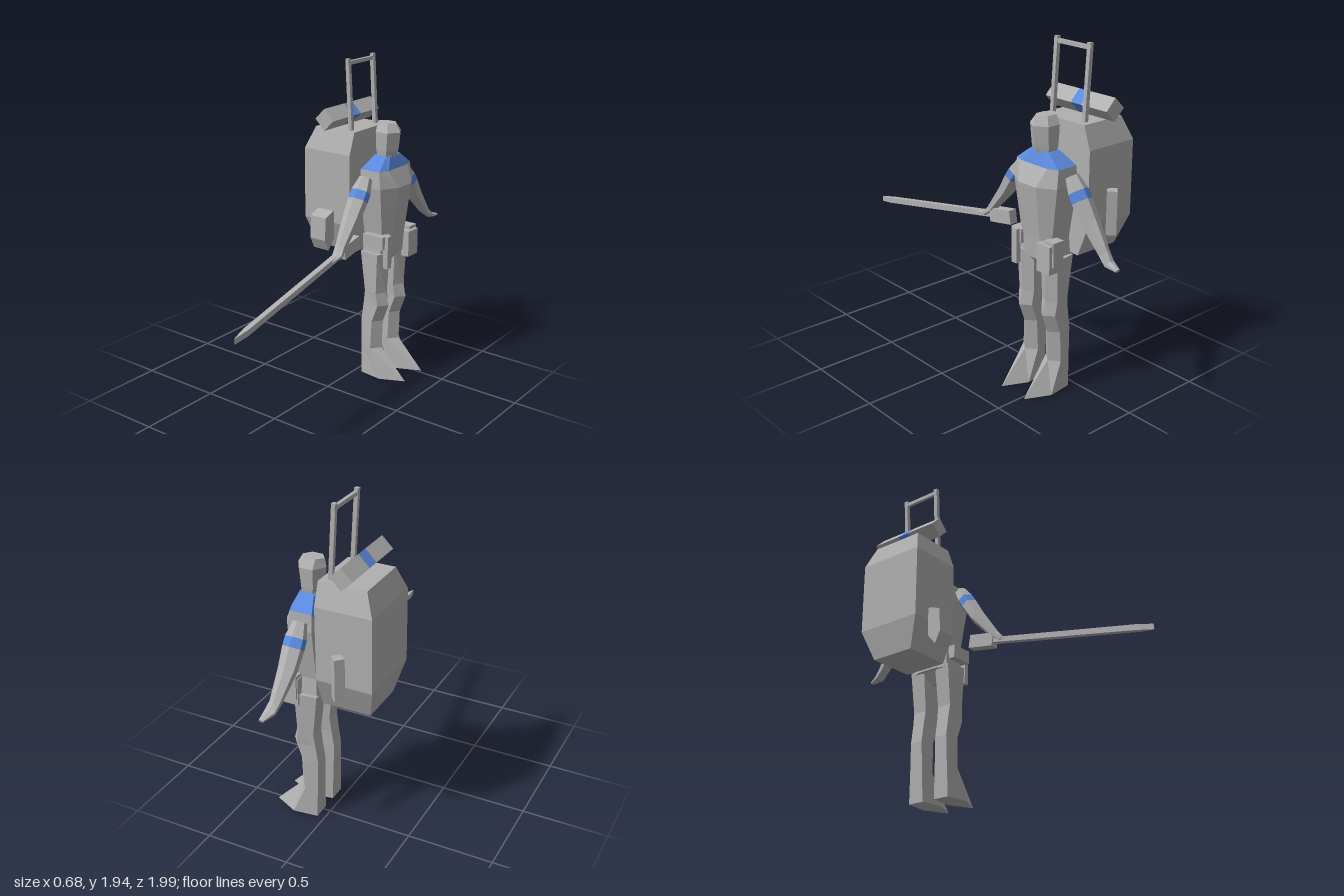
import * as THREE from 'three';

const CZ = -0.43; // body centre line; the figure faces +x

export function createModel() {
  const root = new THREE.Group();
  root.name = 'explorer';
  const grey = new THREE.MeshStandardMaterial({ color: 0xb0b0b0, flatShading: true });
  grey.name = 'grey';
  const blue = new THREE.MeshStandardMaterial({ color: 0x5a8ade, flatShading: true });
  blue.name = 'blue';

  function add(name, geo, mat = grey) {
    const m = new THREE.Mesh(geo, mat);
    m.name = name;
    root.add(m);
    return m;
  }

  // Closed, flat-shaded skin over rings of equal point count
  function loft(rings) {
    const tris = [], n = rings[0].length;
    for (let r = 0; r + 1 < rings.length; r++)
      for (let i = 0; i < n; i++) {
        const j = (i + 1) % n, a = rings[r], b = rings[r + 1];
        tris.push([a[i], a[j], b[j]], [a[i], b[j], b[i]]);
      }
    const s = rings[0], e = rings[rings.length - 1];
    for (let i = 1; i + 1 < n; i++) tris.push([s[0], s[i + 1], s[i]], [e[0], e[i], e[i + 1]]);
    const c = new THREE.Vector3(...s[0]);
    let vol = 0;
    for (const t of tris) {
      const [p, q, k] = t.map(v => new THREE.Vector3(...v).sub(c));
      vol += p.dot(q.cross(k));
    }
    if (vol < 0) tris.forEach(t => t.reverse());
    const g = new THREE.BufferGeometry();
    g.setAttribute('position', new THREE.Float32BufferAttribute(tris.flat(2), 3));
    g.computeVertexNormals();
    return g;
  }

  // Box given by its limits on x, y and z
  function block(name, x0, x1, y0, y1, z0, z1, mat) {
    const m = add(name, new THREE.BoxGeometry(x1 - x0, y1 - y0, z1 - z0), mat);
    m.position.set((x0 + x1) / 2, (y0 + y1) / 2, (z0 + z1) / 2);
    return m;
  }

  // Straight bar between two points
  function bar(name, a, b, w, h) {
    const p = new THREE.Vector3(...a), q = new THREE.Vector3(...b);
    const m = add(name, new THREE.BoxGeometry(w, h, p.distanceTo(q)));
    m.position.copy(p).add(q).multiplyScalar(0.5);
    m.lookAt(q);
    return m;
  }

  // Torso: eight-sided rings, where the back edge may sit lower than the rest
  const oct = (y, xb, xsb, xsf, xf, w, wf, yb = y) => [
    [xf, y, CZ + wf], [xsf, y, CZ + w], [xsb, y, CZ + w], [xb, yb, CZ + wf],
    [xb, yb, CZ - wf], [xsb, y, CZ - w], [xsf, y, CZ - w], [xf, y, CZ - wf]];
  const collarRing = oct(1.31, 0, 0.035, 0.165, 0.19, 0.16, 0.1, 1.23);
  add('torso', loft([
    oct(0.78, 0.01, 0.035, 0.16, 0.19, 0.13, 0.06),
    oct(0.9, 0.02, 0.04, 0.165, 0.2, 0.12, 0.06),
    oct(1.21, 0, 0.035, 0.18, 0.24, 0.167, 0.07),
    collarRing]));
  add('shoulderYoke', loft([collarRing, oct(1.38, 0.06, 0.07, 0.15, 0.165, 0.07, 0.05)]), blue);
  add('pelvis', loft([
    oct(0.71, 0.08, 0.085, 0.125, 0.13, 0.02, 0.015),
    oct(0.79, 0.02, 0.04, 0.165, 0.19, 0.09, 0.05)]));

  // Head
  const hex = (y, xb, xf, w) => {
    const d = (xf - xb) * 0.26;
    return [[xf, y, CZ], [xf - d, y, CZ + w], [xb + d, y, CZ + w],
      [xb, y, CZ], [xb + d, y, CZ - w], [xf - d, y, CZ - w]];
  };
  add('head', loft([hex(1.36, 0.06, 0.17, 0.06), hex(1.41, 0.04, 0.185, 0.066),
    hex(1.52, 0.03, 0.2, 0.07), hex(1.57, 0.04, 0.17, 0.042)]));

  for (const s of [1, -1]) {
    const side = s > 0 ? 'right' : 'left';

    // Legs with pointed feet: y, back x, side x, front x, half width
    const leg = [[0, 0.045, 0.19, 0.335, 0.068], [0.18, 0.04, 0.115, 0.16, 0.06],
      [0.36, 0.035, 0.12, 0.165, 0.055], [0.47, 0.05, 0.16, 0.205, 0.055],
      [0.55, 0.06, 0.15, 0.185, 0.06], [0.8, 0.03, 0.16, 0.19, 0.067]];
    add(side + 'Leg', loft(leg.map(([y, xb, xs, xf, w]) => {
      const z = CZ + s * 0.093;
      return [[xf, y, z], [xs, y, z + w], [xb, y, z + w * 0.75],
        [xb, y, z - w * 0.75], [xs, y, z - w]];
    })));

    // Arms: x, y, distance from centre line, half width, half thickness
    const path = [[0.09, 1.27, 0.185, 0.035, 0.035], [0.09, 1.2, 0.232, 0.055, 0.048],
      [0.09, 1.155, 0.262, 0.056, 0.048], [0.09, 1.06, 0.325, 0.05, 0.043],
      [0.1, 0.92, 0.44, 0.032, 0.026], [0.11, 0.88, 0.485, 0.032, 0.018],
      [0.12, 0.866, 0.555, 0.014, 0.008]];
    const rings = path.map(([x, y, d, rx, rn], i) => {
      const p = path[Math.max(i - 1, 0)], q = path[Math.min(i + 1, path.length - 1)];
      const l = Math.hypot(q[1] - p[1], q[2] - p[2]);
      const ny = (q[2] - p[2]) / l, nd = -(q[1] - p[1]) / l;
      return [0, 1, 2, 3, 4, 5].map(k => {
        const t = (k + 0.5) * Math.PI / 3, c = Math.cos(t) * 1.12, n = Math.sin(t) * rn;
        return [x + c * rx, y + ny * n, CZ + s * (d + nd * n)];
      });
    });
    add(side + 'UpperArm', loft(rings.slice(0, 2)));
    add(side + 'ArmBand', loft(rings.slice(1, 3)), blue);
    add(side + 'Forearm', loft(rings.slice(2)));
  }

  // Belt pouches
  block('rightPouch', 0.06, 0.2, 0.84, 0.92, -0.345, -0.265);
  block('rightSheath', 0.19, 0.222, 0.72, 0.92, -0.33, -0.29);
  block('leftFrontPouch', 0.13, 0.23, 0.74, 0.9, -0.6, -0.5);
  block('leftSidePouch', 0.135, 0.21, 0.78, 0.92, -0.61, -0.54);

  // Backpack
  const slab = (y, xb, w) => [[-0.01, y, CZ + w], [-0.01, y, CZ - w], [xb, y, CZ - w], [xb, y, CZ + w]];
  const pack = loft([slab(0.78, -0.295, 0.14), slab(0.96, -0.34, 0.21),
    slab(1.39, -0.34, 0.21), slab(1.52, -0.29, 0.165)]);
  add('backpack', pack);

  // Side pocket with a wedge-shaped bottom
  const pocket = [[-0.22, 1.035], [-0.2, 1.035], [-0.135, 1.01], [-0.13, 0.87], [-0.165, 0.8], [-0.22, 0.865]];
  add('packPocket', loft([-0.23, -0.12].map(x => pocket.map(([z, y]) => [x, y, z]))));
  const flask = block('packFlask', -0.187, -0.131, 0.9, 1.15, -0.698, -0.642);
  flask.rotation.y = Math.PI / 4;

  // Bedroll with a strap
  const diamond = z => [[-0.11, 1.585, z], [-0.175, 1.65, z], [-0.24, 1.585, z], [-0.175, 1.52, z]];
  add('bedrollRight', loft([diamond(-0.195), diamond(-0.39)]));
  add('bedrollStrap', loft([diamond(-0.39), diamond(-0.467)]), blue);
  add('bedrollLeft', loft([diamond(-0.467), diamond(-0.655)]));

  // Pack frame
  for (const z of [-0.305, -0.548]) bar('frameRod', [-0.06, 1.5, z], [-0.087, 1.935, z], 0.024, 0.024);
  bar('frameCrossbar', [-0.086, 1.91, -0.29], [-0.086, 1.91, -0.562], 0.02, 0.022);

  // Sword
  const blade = (x, y, z, w, h) => [[x + w, y + h, z], [x - w, y + h, z], [x - w, y - h, z], [x + w, y - h, z]];
  add('swordBlade', loft([blade(0.1, 0.885, 0, 0.018, 0.016),
    blade(0.17, 0.733, 0.91, 0.016, 0.017), blade(0.176, 0.718, 1, 0.002, 0.016)]));
  bar('swordHilt', [0.1, 0.885, 0.007], [0.088, 0.908, -0.153], 0.055, 0.08);

  return root;
}
